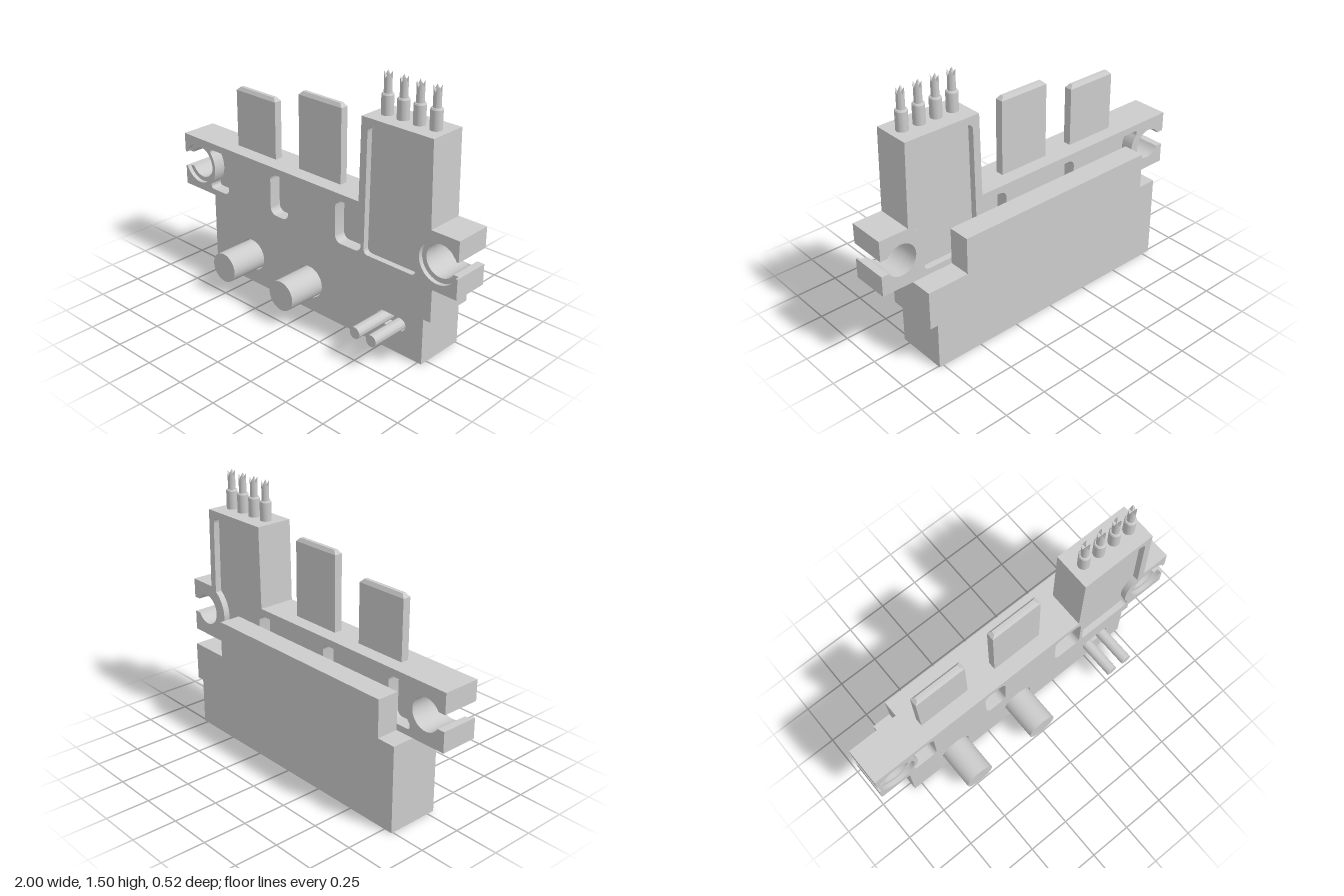
import * as THREE from 'three';
import { toCreasedNormals } from 'three/addons/utils/BufferGeometryUtils.js';

const HOLE_X = 0.88, HOLE_Y = 0.65, SLOT = 0.045;

export function createModel() {
  const model = new THREE.Group();
  const material = new THREE.MeshStandardMaterial({ color: 0xcccccc });

  function add(name, geometry, x = 0, y = 0, z = 0, parent = model) {
    const mesh = new THREE.Mesh(toCreasedNormals(geometry, 0.5), material);
    mesh.name = name;
    mesh.position.set(x, y, z);
    parent.add(mesh);
    return mesh;
  }

  function group(name) {
    const g = new THREE.Group();
    g.name = name;
    model.add(g);
    return g;
  }

  // Extrude a shape between two z planes
  const slab = (shape, z0, z1) =>
    new THREE.ExtrudeGeometry(shape, { depth: z1 - z0, bevelEnabled: false, curveSegments: 20 }).translate(0, 0, z0);

  const polygon = (pts) => new THREE.Shape(pts.map(([x, y]) => new THREE.Vector2(x, y)));

  function roundRect(x0, y0, x1, y1, r) {
    const p = new THREE.Path();
    p.absarc(x1 - r, y1 - r, r, 0, Math.PI / 2);
    p.absarc(x0 + r, y1 - r, r, Math.PI / 2, Math.PI);
    p.absarc(x0 + r, y0 + r, r, Math.PI, Math.PI * 1.5);
    p.absarc(x1 - r, y0 + r, r, Math.PI * 1.5, Math.PI * 2);
    p.closePath();
    return p;
  }

  function circle(x, y, r) {
    const p = new THREE.Path();
    p.absarc(x, y, r, 0, Math.PI * 2);
    return p;
  }

  // Flange outline with the tower and open mounting holes of radius r
  function flangeShape(r) {
    const a = Math.asin(SLOT / r);
    const s = new THREE.Shape();
    s.moveTo(-1, 0.49);
    s.lineTo(1, 0.49);
    s.lineTo(1, HOLE_Y - SLOT);
    s.absarc(HOLE_X, HOLE_Y, r, -a, a, true);
    s.lineTo(1, HOLE_Y + SLOT);
    s.lineTo(1, 0.81);
    s.lineTo(0.83, 0.81);
    s.lineTo(0.82, 1.275);
    s.lineTo(0.375, 1.275);
    s.lineTo(0.365, 0.81);
    s.lineTo(-1, 0.81);
    s.lineTo(-1, HOLE_Y + SLOT);
    s.absarc(-HOLE_X, HOLE_Y, r, Math.PI - a, Math.PI + a, true);
    s.lineTo(-1, HOLE_Y - SLOT);
    s.closePath();
    return s;
  }

  // Small pocket that curves around the left mounting hole
  function curvedPocket() {
    const p = new THREE.Path();
    p.absarc(-HOLE_X, HOLE_Y, 0.14, -0.72, 0.72);
    p.quadraticCurveTo(-0.785, 0.77, -0.755, 0.77);
    p.lineTo(-0.665, 0.77);
    p.quadraticCurveTo(-0.625, 0.77, -0.625, 0.73);
    p.lineTo(-0.625, 0.565);
    p.quadraticCurveTo(-0.625, 0.525, -0.665, 0.525);
    p.lineTo(-0.755, 0.525);
    p.quadraticCurveTo(-0.785, 0.525, -0.775, 0.558);
    return p;
  }

  // Large tower pocket that curves around the right mounting hole
  function towerPocket() {
    const p = new THREE.Path();
    p.absarc(HOLE_X, HOLE_Y, 0.165, 2.18, 3.72);
    p.quadraticCurveTo(0.75, 0.525, 0.71, 0.525);
    p.lineTo(0.435, 0.525);
    p.quadraticCurveTo(0.405, 0.525, 0.405, 0.555);
    p.lineTo(0.415, 1.195);
    p.quadraticCurveTo(0.418, 1.235, 0.455, 1.235);
    p.lineTo(0.74, 1.235);
    p.quadraticCurveTo(0.778, 1.235, 0.78, 1.195);
    p.lineTo(0.787, 0.81);
    p.closePath();
    return p;
  }

  // Flange built from layers: [z0, z1, hole radius, small pockets, tower pocket]
  const flange = group('flange');
  const layers = [
    [0.06, 0.085, 0.117, true, true],
    [0.05, 0.06, 0.09, true, true],
    [0.015, 0.05, 0.09, true, false],
    [-0.06, 0.015, 0.09, false, false],
    [-0.095, -0.06, 0.09, true, false],
    [-0.132, -0.095, 0.09, true, true],
  ];
  for (const [z0, z1, r, small, tower] of layers) {
    const s = flangeShape(r);
    if (small) {
      s.holes.push(curvedPocket(), roundRect(-0.28, 0.525, -0.145, 0.77, 0.04));
      if (!tower) s.holes.push(roundRect(0.205, 0.525, 0.385, 0.77, 0.04));
      else s.holes.push(roundRect(0.205, 0.525, 0.385, 0.77, 0.04), towerPocket());
    }
    add('flangeLayer', slab(s, z0, z1), 0, 0, 0, flange);
  }

  // Lower housing with a stepped right side and clearance recesses in front
  const housing = group('housing');
  const body = () => polygon([[-0.8, 0], [0.775, 0], [0.775, 0.27], [0.82, 0.27], [0.82, 0.49], [-0.8, 0.49]]);
  const face = body();
  const buttonsX = [-0.485, -0.025];
  for (const x of buttonsX) face.holes.push(circle(x, 0.177, 0.095));
  face.holes.push(roundRect(0.473, 0.139, 0.663, 0.215, 0.037));
  add('housingFace', slab(face, -0.01, 0.042), 0, 0, 0, housing);
  add('housingBody', slab(body(), -0.26, -0.01), 0, 0, 0, housing);
  add('backRidge', new THREE.BoxGeometry(1.265, 0.211, 0.128), -0.0575, 0.595, -0.196, housing);

  // Front pegs
  const peg = (name, x, r) =>
    add(name, new THREE.CylinderGeometry(r, r, 0.275, 40).rotateX(Math.PI / 2), x, 0.177, 0.1275);
  for (const x of buttonsX) peg('largePeg', x, 0.0875);
  for (const x of [0.512, 0.622]) peg('smallPeg', x, 0.033);

  // Flat blades with a chamfered tip
  function blade(x, top) {
    const w = 0.305, d = 0.046, c = 0.02, h = top - 0.8;
    const g = new THREE.BoxGeometry(w, h, d, 1, 2, 1);
    const p = g.attributes.position;
    for (let i = 0; i < p.count; i++) {
      if (Math.abs(p.getY(i)) < 0.001) p.setY(i, h / 2 - c);
      else if (p.getY(i) > 0) {
        p.setX(i, Math.sign(p.getX(i)) * (w / 2 - c));
        p.setZ(i, Math.sign(p.getZ(i)) * (d / 2 - 0.013));
      }
    }
    add('blade', g, x, 0.8 + h / 2, -0.027);
  }
  blade(-0.478, 1.163);
  blade(0.008, 1.255);

  // Spring pins: stepped sleeve and plunger with a four-point crown
  const sleeve = new THREE.LatheGeometry(
    [[0, 0], [0.032, 0], [0.032, 0.105], [0.027, 0.113], [0, 0.113]].map(([x, y]) => new THREE.Vector2(x, y)), 24);
  const R = 0.021, TOP = 0.222;
  const plunger = new THREE.CylinderGeometry(R, R, 0.122, 24).translate(0, TOP - 0.061, 0);
  const pos = plunger.attributes.position;
  for (let i = 0; i < pos.count; i++) {
    if (pos.getY(i) < TOP - 0.001) continue;
    const m = Math.min(Math.abs(pos.getX(i)), Math.abs(pos.getZ(i)));
    pos.setY(i, TOP - 0.032 * (1 - m / (R * Math.SQRT1_2)));
  }
  for (let i = 0; i < 4; i++) {
    const pin = group('springPin');
    pin.position.set(0.45 + i * 0.1, 1.273, -0.02);
    add('sleeve', sleeve, 0, 0, 0, pin);
    add('plunger', plunger, 0, 0, 0, pin);
  }

  return model;
}
